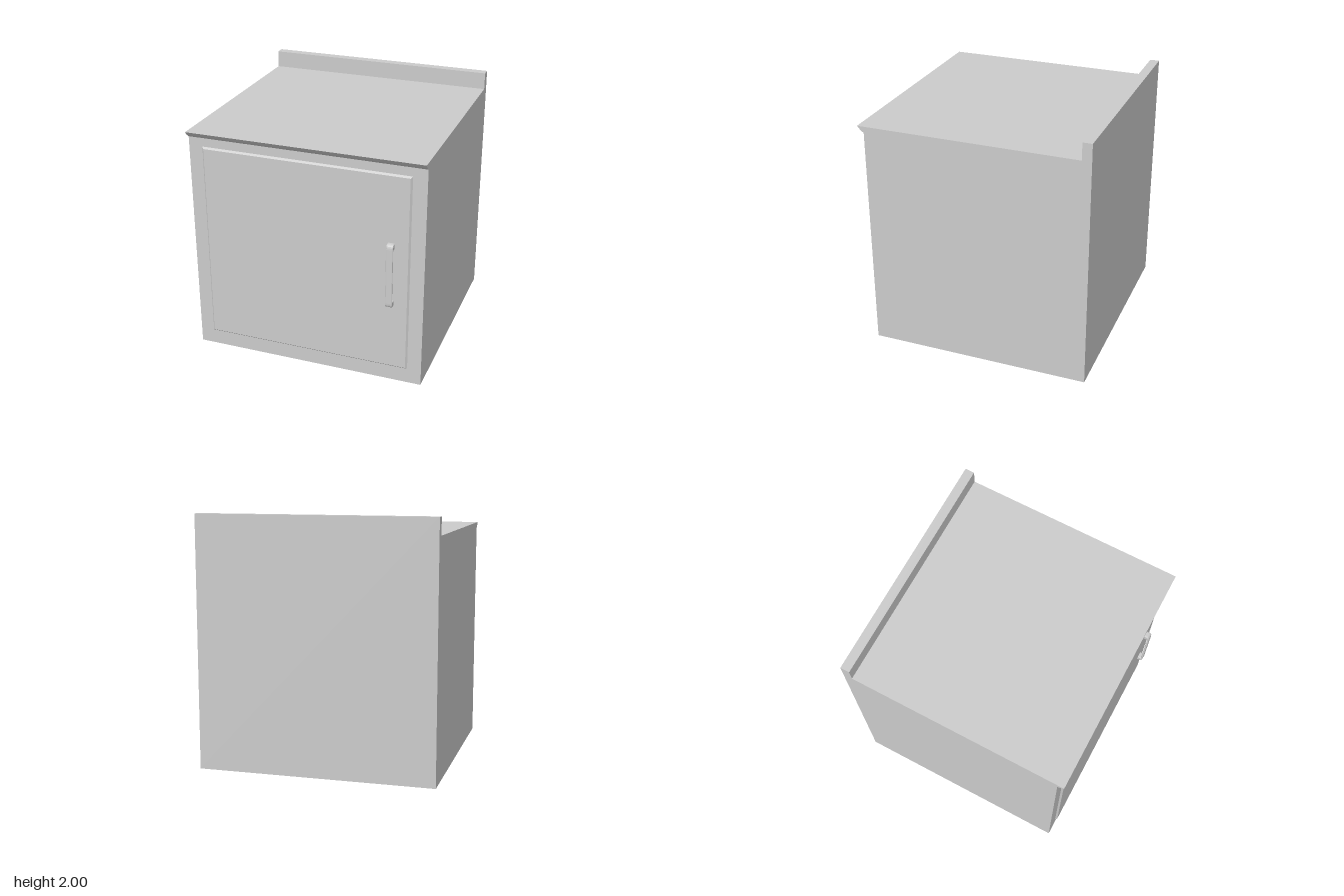
import * as THREE from 'three';

const material = new THREE.MeshStandardMaterial({ color: 0xcccccc, flatShading: true });

function addPart(group, name, geometry) {
  const mesh = new THREE.Mesh(geometry, material);
  mesh.name = name;
  group.add(mesh);
}

// Extrudes a side outline, drawn as (-z, y), across the width and centres it on x
function extrudeAcross(shape, width, bevel = 0) {
  const depth = width - 2 * bevel;
  const geometry = new THREE.ExtrudeGeometry(shape, {
    depth, curveSegments: 5,
    bevelEnabled: bevel > 0, bevelThickness: bevel,
    bevelSize: bevel * 0.5, bevelOffset: -bevel * 0.5, bevelSegments: 2,
  });
  return geometry.translate(0, 0, -depth / 2).rotateY(Math.PI / 2);
}

// Cabinet body with worktop lip and raised back ledge
function cabinetBody() {
  const profile = [
    [0.865, 0], [0.865, 1.812], [0.893, 1.833], [0.918, 1.863],
    [-0.843, 1.863], [-0.843, 2], [-0.918, 2], [-0.918, 0],
  ];
  const shape = new THREE.Shape(profile.map(([z, y]) => new THREE.Vector2(-z, y)));
  return extrudeAcross(shape, 1.88);
}

// Door panel whose front edges are chamfered
function doorPanel() {
  const w = 1.664, h = 1.625, d = 0.033, chamfer = 0.016;
  const shape = new THREE.Shape();
  const x = w / 2 - chamfer, y = h / 2 - chamfer;
  shape.moveTo(-x, -y).lineTo(x, -y).lineTo(x, y).lineTo(-x, y).closePath();
  const geometry = new THREE.BoxGeometry(w, h, d);
  const p = geometry.attributes.position;
  for (let i = 0; i < p.count; i++) {
    if (p.getZ(i) > 0) p.setXY(i, Math.sign(p.getX(i)) * x, Math.sign(p.getY(i)) * y);
    else p.setZ(i, -0.001);
  }
  geometry.computeVertexNormals();
  return geometry.translate(0, 0.933, 0.863);
}

// Bow handle with rounded outer corners and softened edges
function doorHandle() {
  const base = -0.87, front = -0.923, inner = -0.907;
  const low = 0.668, high = 1.198, leg = 0.048, r = 0.03;
  const s = new THREE.Shape();
  s.moveTo(base, low);
  s.lineTo(front + r, low);
  s.quadraticCurveTo(front, low, front, low + r * 1.3);
  s.lineTo(front, high - r * 1.3);
  s.quadraticCurveTo(front, high, front + r, high);
  s.lineTo(base, high);
  s.lineTo(base, high - leg);
  s.lineTo(inner, high - leg);
  s.lineTo(inner, low + leg);
  s.lineTo(base, low + leg);
  s.closePath();
  return extrudeAcross(s, 0.054, 0.01).translate(0.683, 0, 0);
}

export function createModel() {
  const group = new THREE.Group();
  group.name = 'cabinet';
  addPart(group, 'cabinetBody', cabinetBody());
  addPart(group, 'doorPanel', doorPanel());
  addPart(group, 'doorHandle', doorHandle());
  return group;
}
